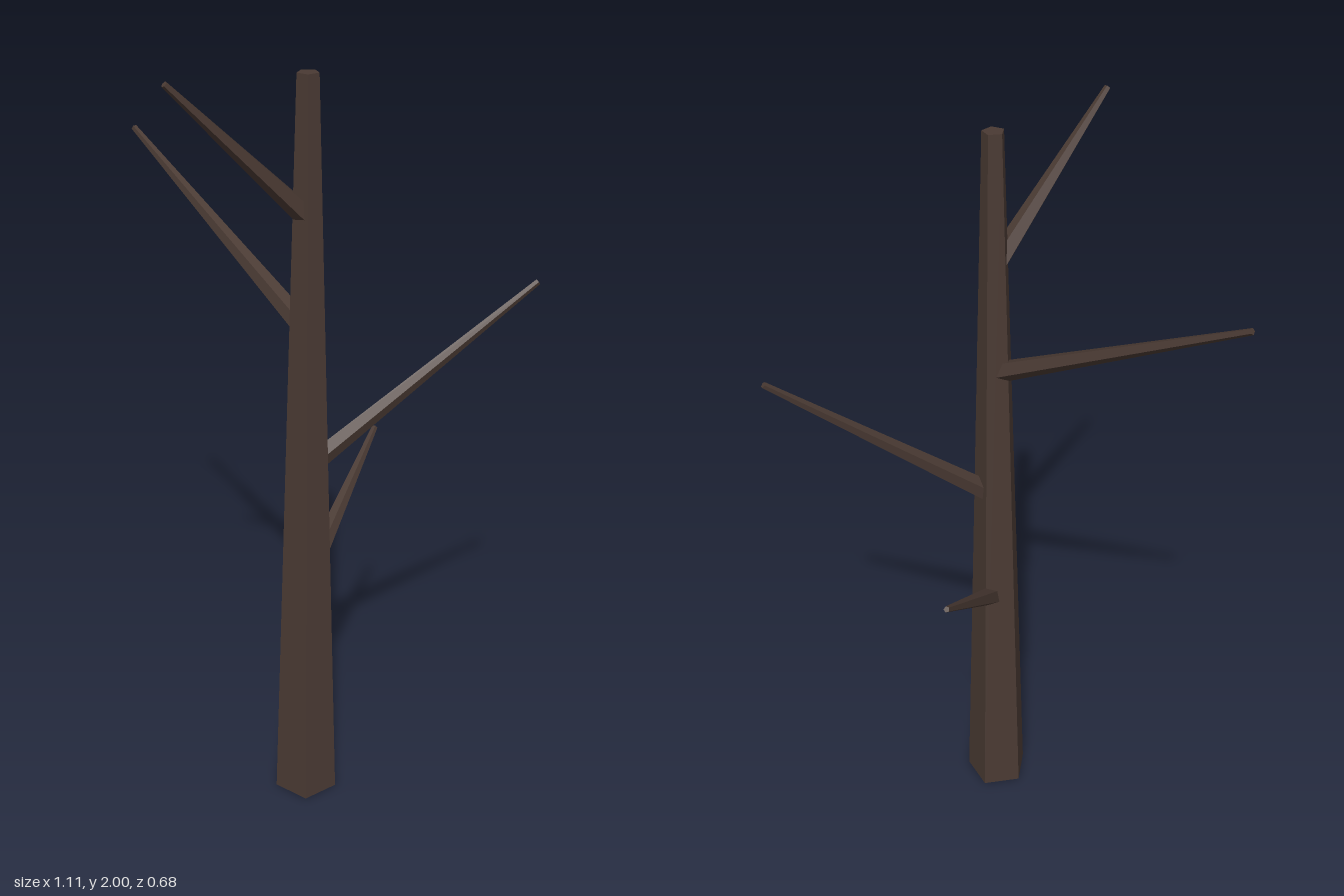
import * as THREE from 'three';

export function createModel() {
  const bark = new THREE.MeshStandardMaterial({ color: 0x4a3a33 });
  bark.name = 'darkBark';
  bark.flatShading = true;

  const tree = new THREE.Group();
  tree.name = 'bareTree';
  const cx = 0.045, cz = 0.068, up = new THREE.Vector3(0, 1, 0);

  // Tapered five-sided limb from one point to another
  function limb(name, from, to, r0, r1) {
    const dir = to.clone().sub(from), len = dir.length();
    const geo = new THREE.CylinderGeometry(r1, r0, len, 5, 1, false, Math.PI / 2);
    geo.translate(0, len / 2, 0);
    const mesh = new THREE.Mesh(geo, bark);
    mesh.name = name;
    mesh.position.copy(from);
    mesh.quaternion.setFromUnitVectors(up, dir.normalize());
    tree.add(mesh);
  }

  // Trunk, slightly off centre
  limb('trunk', new THREE.Vector3(cx, 0, cz), new THREE.Vector3(cx, 1.98, cz), 0.086, 0.027);

  // Branches grow from the trunk axis: start height, then tip
  const branches = [
    ['lowBackBranch', 0.655, 0.109, 0.927, -0.333],
    ['leftBranch', 0.99, 0.547, 1.449, -0.207],
    ['rightBranch', 1.36, -0.55, 1.716, -0.288],
    ['topFrontBranch', 1.645, -0.187, 1.994, 0.334],
  ];
  for (const [name, y, tx, ty, tz] of branches) {
    limb(name, new THREE.Vector3(cx, y, cz), new THREE.Vector3(tx, ty, tz), 0.028, 0.008);
  }
  return tree;
}
